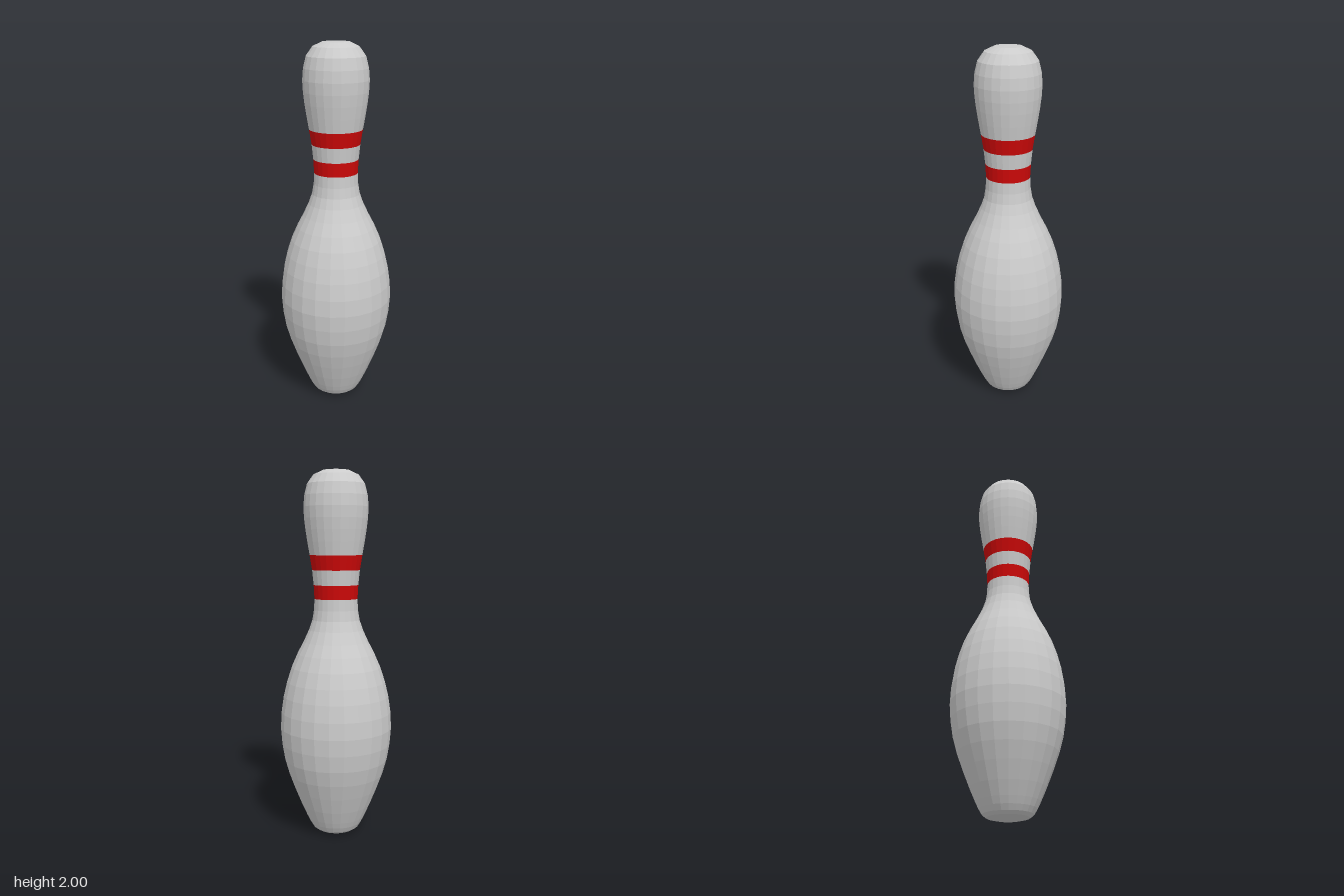
import * as THREE from 'three';

const SIDES = 24;
const grey = new THREE.MeshStandardMaterial({ color: 0xcccccc, flatShading: true });
const red = new THREE.MeshStandardMaterial({ color: 0xcc0808, flatShading: true });

// Turned section from [radius, height] pairs, bottom to top
function turned(name, profile, material) {
  const points = profile.map(([r, y]) => new THREE.Vector2(r, y));
  const mesh = new THREE.Mesh(new THREE.LatheGeometry(points, SIDES), material);
  mesh.name = name;
  return mesh;
}

export function createModel() {
  const pin = new THREE.Group();
  pin.name = 'bowlingPin';

  // Belly, from the rounded foot up to the neck
  pin.add(turned('body', [
    [0, 0], [0.07, 0.003], [0.109, 0.012], [0.13, 0.027], [0.147, 0.055], [0.164, 0.09],
    [0.195, 0.16], [0.231, 0.25], [0.262, 0.335], [0.286, 0.42], [0.301, 0.51],
    [0.308, 0.6], [0.304, 0.69], [0.291, 0.78], [0.272, 0.86], [0.246, 0.94],
    [0.213, 1.015], [0.179, 1.08], [0.149, 1.145], [0.13, 1.2], [0.121, 1.255], [0.118, 1.315],
  ], grey));

  // Neck with two painted stripes
  pin.add(turned('lowerStripe', [[0.118, 1.315], [0.122, 1.39]], red));
  pin.add(turned('neck', [[0.122, 1.39], [0.13, 1.47]], grey));
  pin.add(turned('upperStripe', [[0.13, 1.47], [0.143, 1.55]], red));

  // Rounded head
  pin.add(turned('head', [
    [0.143, 1.55], [0.155, 1.62], [0.165, 1.685], [0.172, 1.745], [0.175, 1.805],
    [0.17, 1.865], [0.155, 1.925], [0.121, 1.972], [0.072, 1.995], [0, 2],
  ], grey));

  return pin;
}
